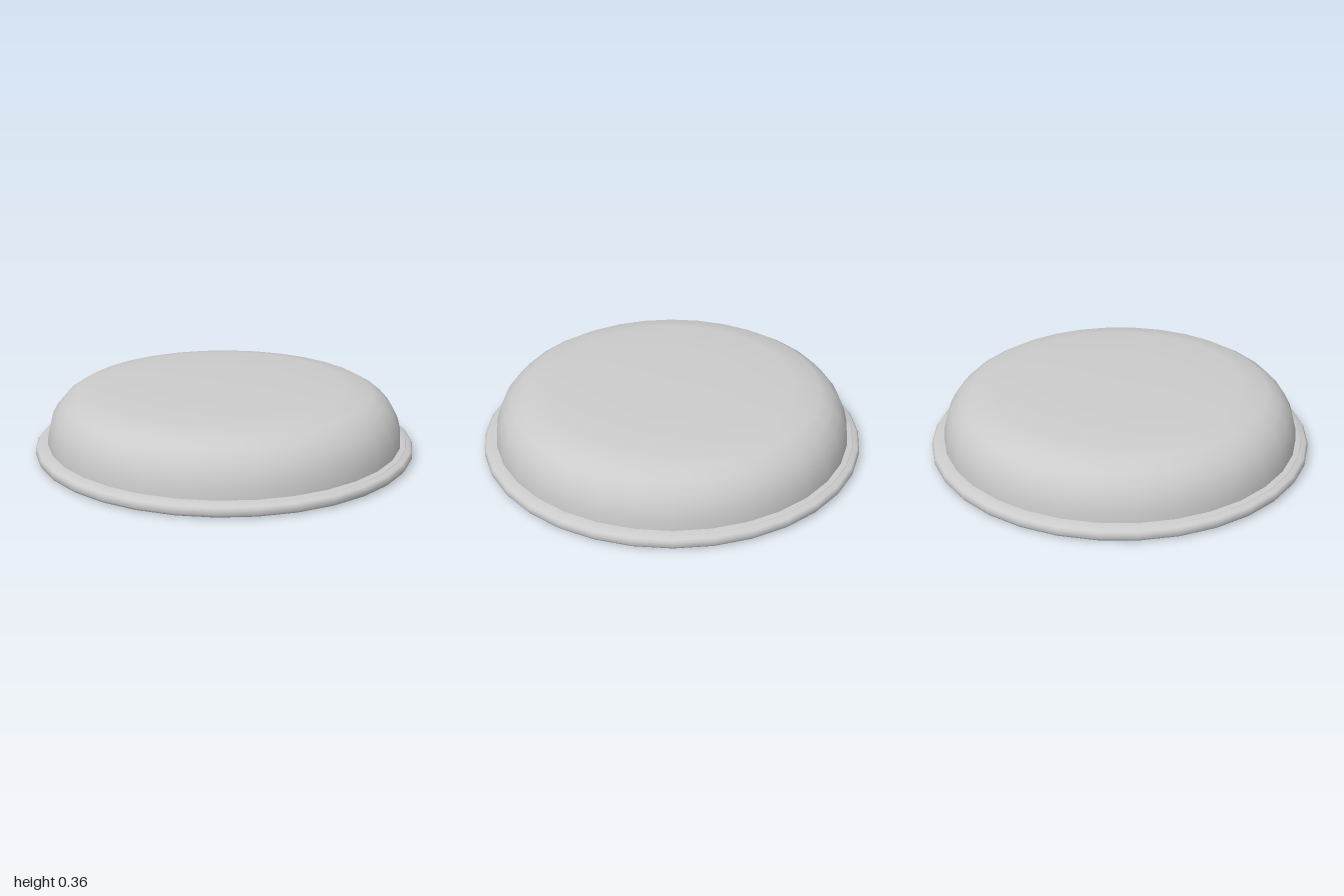
import * as THREE from 'three';

const SEGMENTS = 32;

// Smooth surface of revolution from [radius, height] points listed bottom to top
function turned(name, profile, material) {
  const points = profile.map(([r, y]) => new THREE.Vector2(r, y));
  const mesh = new THREE.Mesh(new THREE.LatheGeometry(points, SEGMENTS), material);
  mesh.name = name;
  return mesh;
}

export function createModel() {
  const group = new THREE.Group();
  group.name = 'domedDisc';
  const material = new THREE.MeshStandardMaterial({ color: 0xcccccc });

  // Flat underside
  const base = new THREE.Mesh(new THREE.CircleGeometry(0.975, SEGMENTS), material);
  base.name = 'base';
  base.rotation.x = Math.PI / 2;
  group.add(base);

  // Rounded outer lip
  group.add(turned('rim', [
    [0.975, 0], [0.991, 0.007], [1, 0.02], [1, 0.042], [0.99, 0.054], [0.966, 0.061],
  ], material));

  // Narrow ledge between lip and dome
  group.add(turned('ledge', [[0.966, 0.061], [0.962, 0.066], [0.935, 0.068]], material));

  // Shallow dome with a rounded shoulder
  group.add(turned('dome', [
    [0.935, 0.068], [0.932, 0.12], [0.917, 0.18], [0.89, 0.235], [0.846, 0.285],
    [0.78, 0.325], [0.645, 0.352], [0.35, 0.36], [0, 0.363],
  ], material));

  return group;
}
